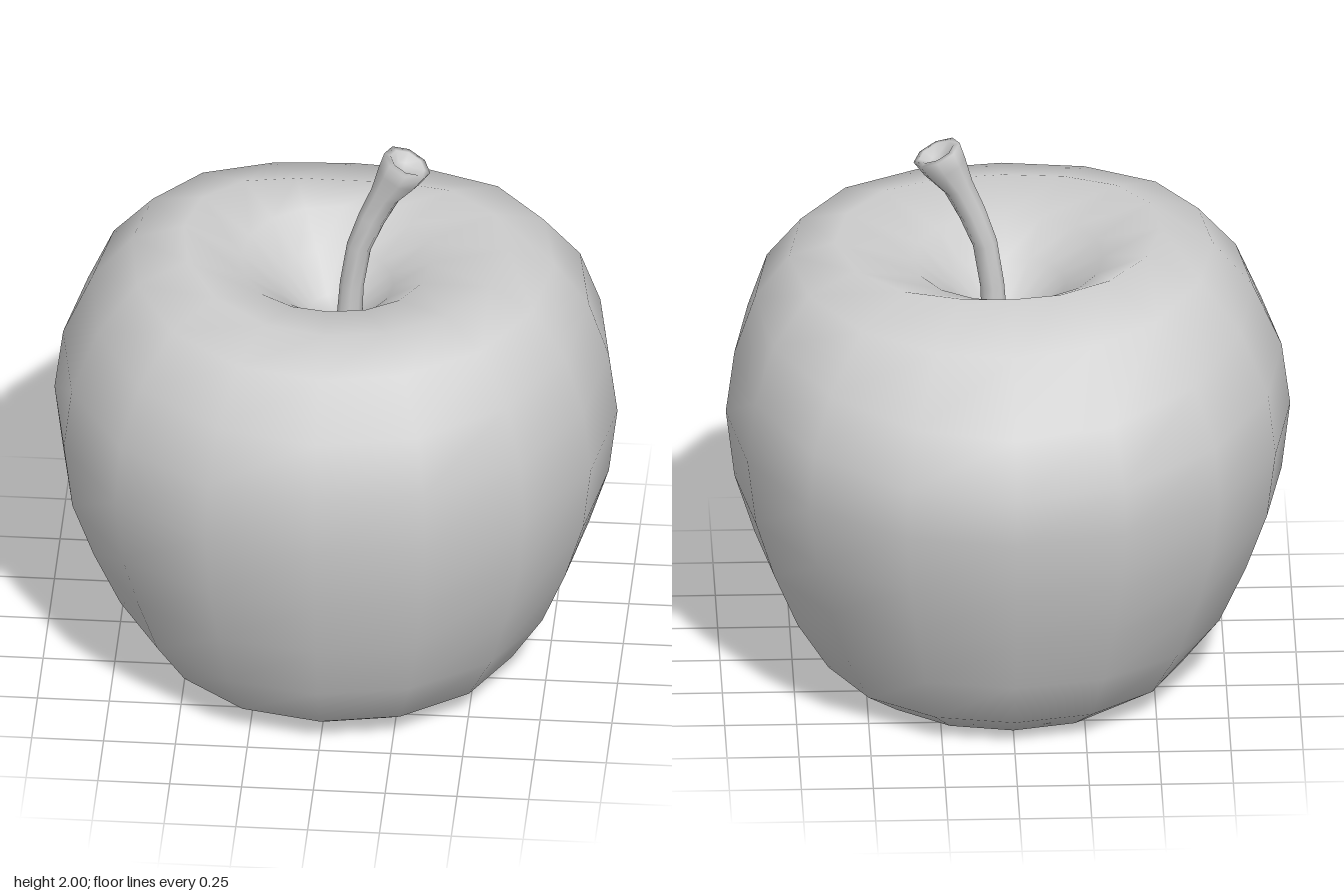
import * as THREE from 'three';
import { mergeVertices } from 'three/addons/utils/BufferGeometryUtils.js';

// Skin a smooth surface over closed rings, listed from bottom to top.
// pointAt(ring, angle) returns [x, y, z].
function loft(rings, sides, pointAt) {
  const positions = [], index = [];
  for (let j = 0; j < rings; j++) {
    for (let i = 0; i < sides; i++) {
      positions.push(...pointAt(j, (i / sides) * Math.PI * 2));
      if (j === rings - 1) continue;
      const a = j * sides + i, b = j * sides + (i + 1) % sides;
      index.push(a, a + sides, b, b, a + sides, b + sides);
    }
  }
  let geometry = new THREE.BufferGeometry();
  geometry.setAttribute('position', new THREE.Float32BufferAttribute(positions, 3));
  geometry.setIndex(index);
  geometry = mergeVertices(geometry, 1e-5); // weld the poles
  geometry.computeVertexNormals();
  return geometry;
}

// Fruit outline [radius, height] on each of its four sides
const leftSide = [[0.53, 0], [0.67, 0.1], [0.79, 0.29], [0.88, 0.5], [0.95, 0.72], [0.98, 0.97],
  [0.95, 1.2], [0.88, 1.41], [0.76, 1.57], [0.6, 1.62]];
const frontSide = [[0.57, 0], [0.72, 0.1], [0.82, 0.28], [0.89, 0.5], [0.95, 0.72], [0.985, 0.97],
  [0.97, 1.18], [0.9, 1.37], [0.75, 1.54], [0.55, 1.595]];
const rightSide = [[0.48, 0], [0.63, 0.1], [0.77, 0.28], [0.87, 0.5], [0.95, 0.72], [0.98, 0.97],
  [0.95, 1.2], [0.85, 1.43], [0.71, 1.6], [0.53, 1.66]];
const backSide = [[0.57, 0], [0.71, 0.1], [0.8, 0.28], [0.88, 0.5], [0.94, 0.7], [0.98, 0.92],
  [0.97, 1.09], [0.88, 1.28], [0.68, 1.5], [0.42, 1.6]];

// Hollows under and on top of the fruit, the same all round
const bottomHollow = [[0, 0.27], [0.09, 0.24], [0.2, 0.14], [0.35, 0.03]];
const topHollow = [[0.33, 1.55], [0.2, 1.45], [0.09, 1.34], [0, 1.31]];
const profiles = [leftSide, frontSide, rightSide, backSide]
  .map((side) => [...bottomHollow, ...side, ...topHollow]);

// Blend neighbouring outlines round the fruit
function fruitPoint(j, angle) {
  const turn = angle / (Math.PI / 2);
  const quarter = Math.floor(turn + 1e-6);
  const weight = Math.sin((turn - quarter) * Math.PI / 2) ** 2;
  const [r0, y0] = profiles[quarter % 4][j];
  const [r1, y1] = profiles[(quarter + 1) % 4][j];
  const bulge = 1 + 0.025 * Math.sin(2 * angle) ** 2;
  const r = THREE.MathUtils.lerp(r0, r1, weight) * bulge;
  return [r * Math.cos(angle), THREE.MathUtils.lerp(y0, y1, weight), r * Math.sin(angle)];
}

// Stem rings [x, y, radius, lean], ending in a flared, dished tip
const stemRings = [
  [0.045, 1.28, 0.045, 0.1], [0.055, 1.45, 0.042, 0.17], [0.08, 1.61, 0.043, 0.28],
  [0.125, 1.73, 0.048, 0.4], [0.172, 1.83, 0.053, 0.43], [0.22, 1.91, 0.078, 0.43],
  [0.248, 1.963, 0.088, 0.43], [0.249, 1.965, 0.065, 0.43], [0.238, 1.94, 0.035, 0.43],
  [0.235, 1.934, 0, 0.43],
];
function stemPoint(j, angle) {
  const [x, y, r, lean] = stemRings[j];
  const across = r * Math.cos(angle);
  return [x + across * Math.cos(lean), y - across * Math.sin(lean), r * Math.sin(angle)];
}

export function createModel() {
  const group = new THREE.Group();
  group.name = 'apple';
  const grey = new THREE.MeshStandardMaterial({ color: 0xcccccc });
  grey.name = 'light grey';

  const fruit = new THREE.Mesh(loft(profiles[0].length, 16, fruitPoint), grey);
  fruit.name = 'fruit';
  const stem = new THREE.Mesh(loft(stemRings.length, 8, stemPoint), grey);
  stem.name = 'stem';
  group.add(fruit, stem);
  return group;
}
